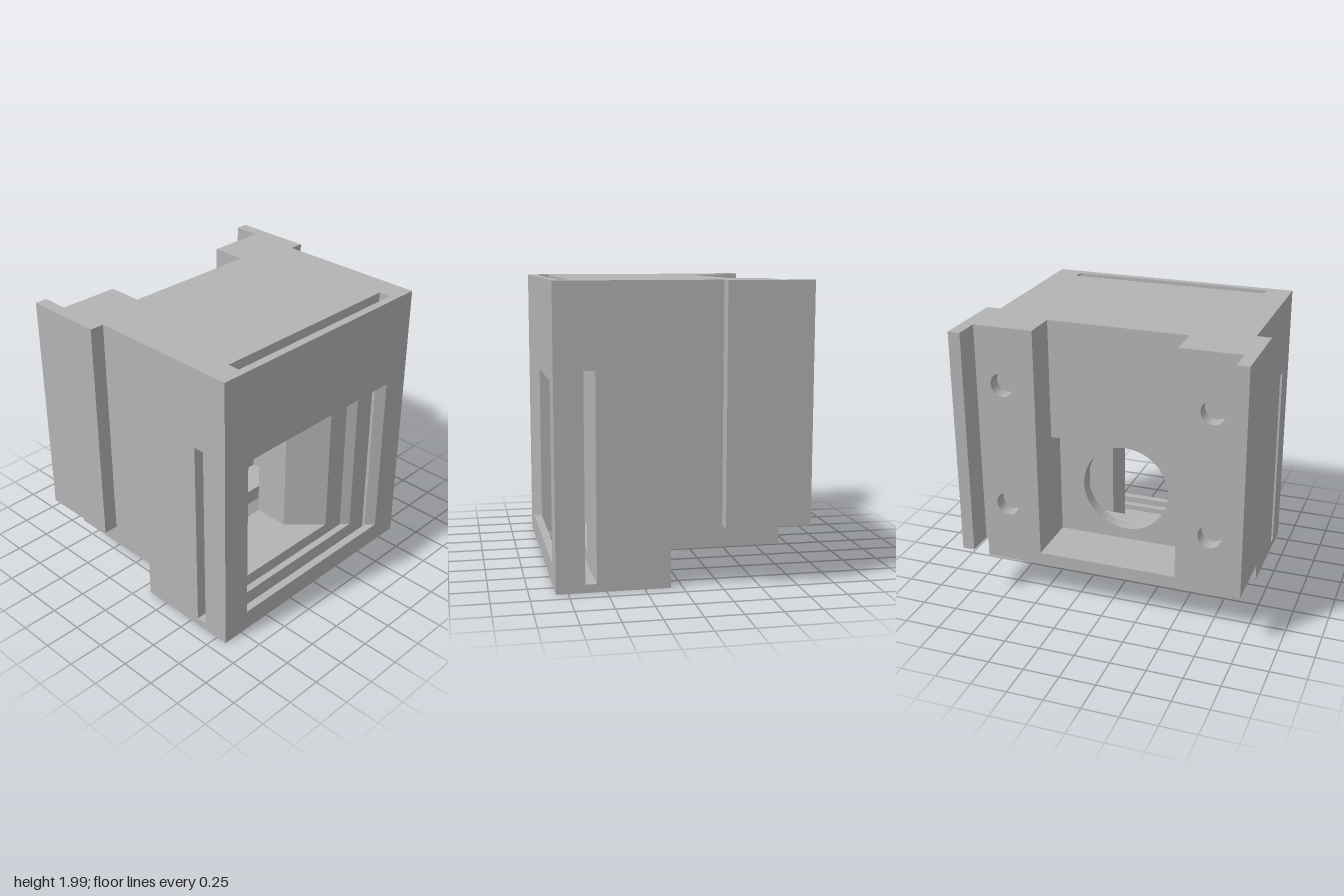
import * as THREE from 'three';

const W = 0.9, TOP = 1.99, STEP = 0.26;

export function createModel() {
  const model = new THREE.Group();
  model.name = 'housing';
  const grey = new THREE.MeshStandardMaterial({ color: 0xb3b3b3 });
  grey.name = 'grey plastic';

  const add = (name, geometry) => {
    const mesh = new THREE.Mesh(geometry, grey);
    mesh.name = name;
    model.add(mesh);
    return mesh;
  };

  const box = (name, x0, x1, y0, y1, z0, z1) =>
    add(name, new THREE.BoxGeometry(x1 - x0, y1 - y0, z1 - z0))
      .position.set((x0 + x1) / 2, (y0 + y1) / 2, (z0 + z1) / 2);

  const mirrored = (name, x0, x1, ...rest) => {
    box(name + 'Left', x0, x1, ...rest);
    box(name + 'Right', -x1, -x0, ...rest);
  };

  const polygon = (points, Type = THREE.Shape) =>
    new Type(points.map(([x, y]) => new THREE.Vector2(x, y)));
  const rect = (w, y0, y1, Type) =>
    polygon([[-w, y0], [w, y0], [w, y1], [-w, y1]], Type);
  const circle = (x, y, r) => {
    const path = new THREE.Path();
    path.absarc(x, y, r, 0, Math.PI * 2, true);
    return path;
  };

  // Slice of the body between two depths, with holes cut through it
  const slice = (shape, holes, z0, z1) => {
    shape.holes.push(...holes);
    const geometry = new THREE.ExtrudeGeometry(shape,
      { depth: z1 - z0, bevelEnabled: false, curveSegments: 24 });
    return geometry.translate(0, 0, z0);
  };

  // Slice with a window whose side walls narrow towards the back
  const windowFrame = (name, z0, z1, frontW, backW) => {
    const geometry = slice(rect(W, 0, TOP),
      [rect(frontW, 0.145, 1.35, THREE.Path)], z0, z1);
    const p = geometry.attributes.position;
    for (let i = 0; i < p.count; i++) {
      const x = p.getX(i);
      if (p.getZ(i) < (z0 + z1) / 2 && Math.abs(x) < W - 0.01) {
        p.setX(i, Math.sign(x) * backW);
      }
    }
    geometry.computeVertexNormals();
    add(name, geometry);
  };

  // Front window, stepped inwards around the two insert slots
  windowFrame('frontFrame', 0.775, 0.83, 0.695, 0.64);
  mirrored('topSlotWall', 0.725, W, 0, TOP, 0.69, 0.775);
  windowFrame('middleFrame', 0.64, 0.69, 0.565, 0.51);
  box('sideSlotFloor', -W, W, 0, 0.055, 0.565, 0.64);
  box('sideSlotRoof', -W, W, 1.43, TOP, 0.565, 0.64);
  windowFrame('funnel', 0.34, 0.565, 0.435, 0.215);
  windowFrame('channel', 0.08, 0.34, 0.215, 0.215);

  // Inner chamber and the plate with the round aperture
  add('chamber', slice(rect(W, STEP, TOP),
    [rect(0.4, 0.37, 1.225, THREE.Path)], -0.15, 0.08));
  add('aperturePlate', slice(rect(W, STEP, TOP),
    [circle(0, 0.747, 0.316)], -0.24, -0.15));

  // Rear recess, deeper in its lower part
  add('deepRecess', slice(rect(W, STEP, TOP),
    [rect(0.495, 0.35, 1.14, THREE.Path)], -0.39, -0.24));
  const notched = () => polygon([
    [-W, STEP], [W, STEP], [W, TOP], [0.495, TOP],
    [0.495, 0.35], [-0.495, 0.35], [-0.495, TOP], [-W, TOP]]);
  add('rearNotch', slice(notched(), [], -0.54, -0.39));
  const screwHoles = [];
  for (const x of [-0.73, 0.73]) {
    for (const y of [0.7, 1.585]) screwHoles.push(circle(x, y, 0.082));
  }
  add('rearScrewFace', slice(notched(), screwHoles, -0.64, -0.54));

  // Side flanges with fins reaching past the back
  mirrored('flange', W, 1, 0.4, TOP, -0.64, -0.26);
  mirrored('fin', 0.915, 1, 0.4, TOP, -0.83, -0.64);

  return model;
}
